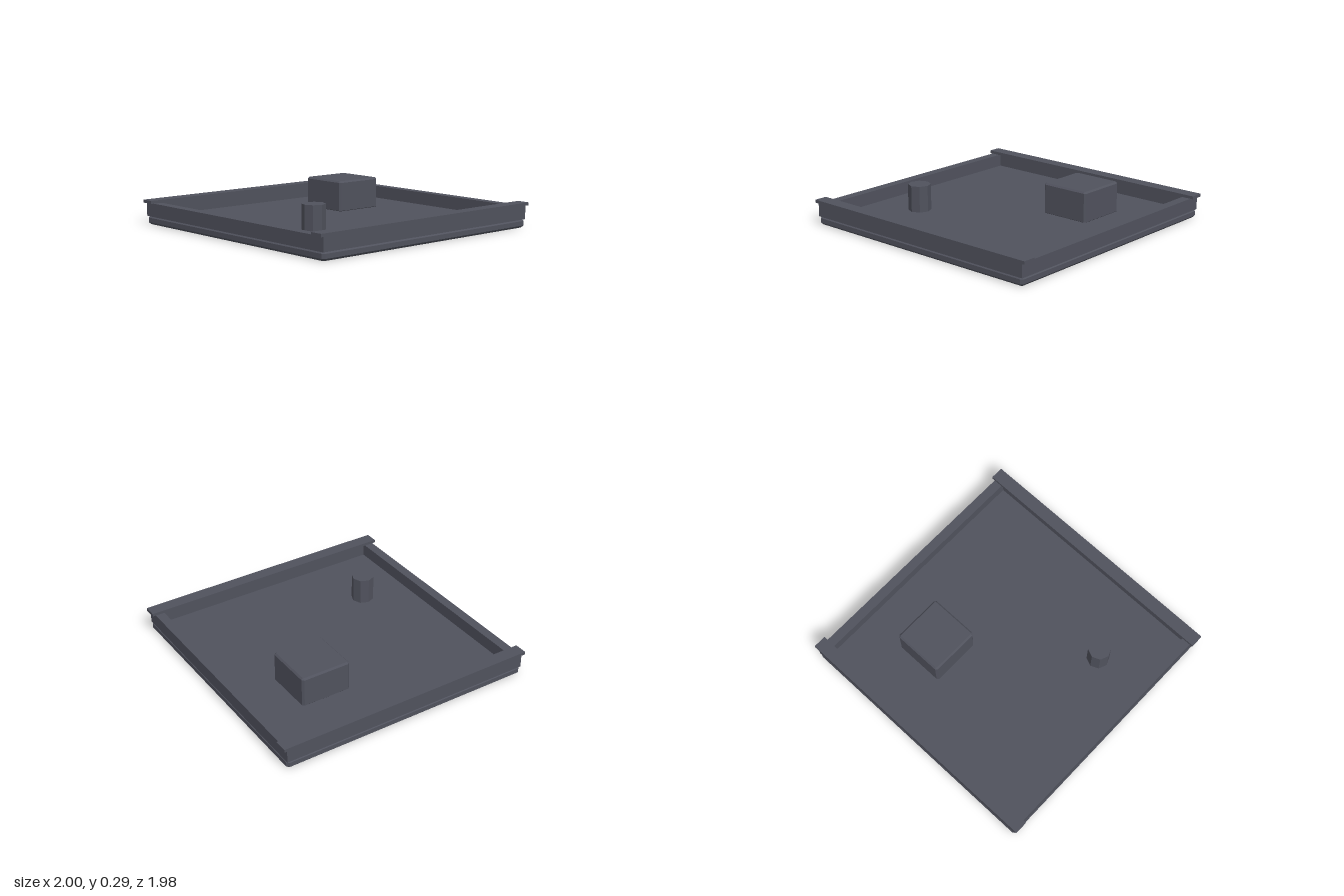
import * as THREE from 'three';

const roofGrey = new THREE.MeshStandardMaterial({ color: 0x50525d });
roofGrey.name = 'roof grey';

export function createModel() {
  const model = new THREE.Group();
  model.name = 'flatRoof';

  function add(name, geometry, x, y, z) {
    const mesh = new THREE.Mesh(geometry, roofGrey);
    mesh.name = name;
    mesh.position.set(x, y, z);
    model.add(mesh);
  }

  // Box standing on y = 0 with every edge chamfered by b
  function chamferedBox(w, h, d, b) {
    const x = w / 2 - b, z = d / 2 - b, c = b * 0.6;
    const outline = new THREE.Shape([
      [x, z - c], [x - c, z], [c - x, z], [-x, z - c],
      [-x, c - z], [c - x, -z], [x - c, -z], [x, c - z],
    ].map(([px, pz]) => new THREE.Vector2(px, pz)));
    const geometry = new THREE.ExtrudeGeometry(outline, {
      depth: h - 2 * b, bevelEnabled: true, bevelSize: b, bevelThickness: b, bevelSegments: 1,
    });
    return geometry.rotateX(-Math.PI / 2).translate(0, b, 0);
  }

  // Chamfered roof slab
  add('slab', chamferedBox(1.95, 0.065, 1.96, 0.016), 0, 0, 0);

  // Parapet walls, with overhanging caps on the front and back
  for (const s of [-1, 1]) {
    const side = s > 0 ? 'left' : 'right';
    const end = s > 0 ? 'front' : 'back';
    add(side + 'Wall', new THREE.BoxGeometry(0.07, 0.1, 1.82), s * 0.94, 0.11, 0);
    add(end + 'Wall', new THREE.BoxGeometry(1.95, 0.1, 0.07), 0, 0.11, s * 0.945);
    add(end + 'Cap', new THREE.BoxGeometry(2, 0.022, 0.098), 0, 0.171, s * 0.939);
  }

  // Rooftop unit and octagonal vent pipe
  add('rooftopUnit', chamferedBox(0.385, 0.235, 0.385, 0.012), 0.388, 0.057, -0.347);
  add('ventPipe', new THREE.CylinderGeometry(0.084, 0.084, 0.2, 8).toNonIndexed(), -0.538, 0.16, 0.387);
  const pipe = model.getObjectByName('ventPipe');
  pipe.geometry.computeVertexNormals(); // faceted sides

  return model;
}
